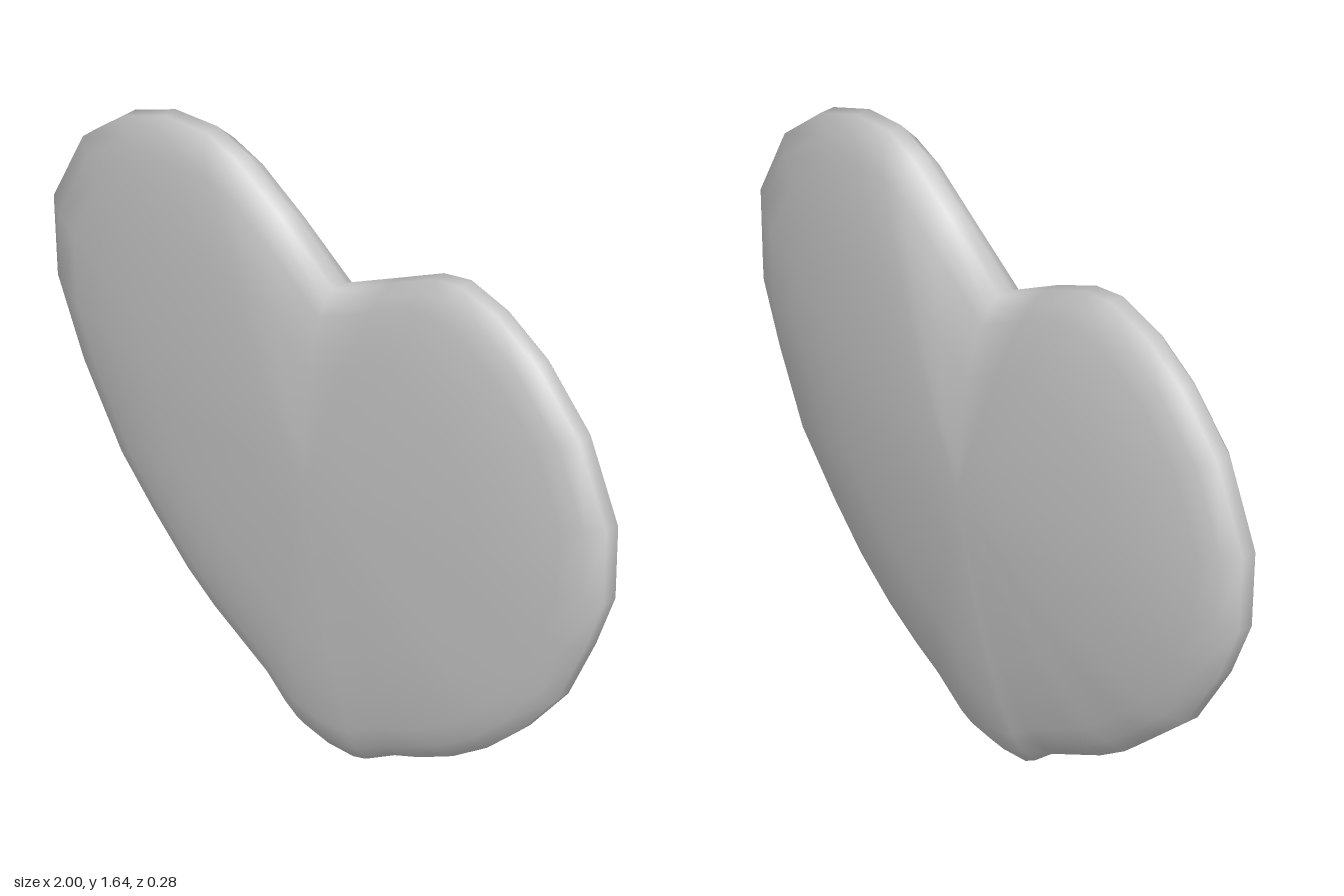
import * as THREE from 'three';
import { mergeVertices } from 'three/addons/utils/BufferGeometryUtils.js';

// Heart outline, clockwise from the notch (x, y)
const outline = [
  [0.01, 1.395], [0.22, 1.52], [0.37, 1.61], [0.47, 1.64], [0.6, 1.615], [0.75, 1.535],
  [0.9, 1.385], [1, 1.155], [0.99, 0.93], [0.92, 0.755], [0.82, 0.55], [0.69, 0.39],
  [0.575, 0.28], [0.45, 0.19], [0.33, 0.125], [0.24, 0.085], [0.135, 0.02], [0.09, 0.005],
  [0, 0], [-0.09, 0.015], [-0.13, 0.04], [-0.2, 0.1], [-0.4, 0.21], [-0.5, 0.28],
  [-0.63, 0.4], [-0.76, 0.52], [-0.9, 0.74], [-0.985, 0.93], [-1, 1.165], [-0.895, 1.4],
  [-0.745, 1.54], [-0.6, 1.615], [-0.45, 1.64], [-0.34, 1.61], [-0.18, 1.52],
];

// Half thickness against distance from the centre (0) to the rim (1)
const profile = [
  [0, 0.138], [0.2, 0.134], [0.4, 0.124], [0.6, 0.11], [0.75, 0.094],
  [0.88, 0.072], [0.95, 0.053], [1, 0.02],
];

const CENTRE_Y = 0.85;

// Pillow body: the outline shrinks towards the middle on both faces
function heartGeometry() {
  const rings = [
    ...profile.map(([s, h]) => [s, h]),
    ...profile.map(([s, h]) => [s, -h]).reverse(),
  ];
  const n = outline.length;
  const positions = [];
  const index = [];

  rings.forEach(([s, h], i) => {
    outline.forEach(([x, y], j) => {
      // the rim sits slightly forward, a little more so at the lower tip
      const rimShift = y < 0.5 ? 0.027 : 0.02;
      positions.push(x * s, CENTRE_Y + (y - CENTRE_Y) * s, h + rimShift * s * s);
      if (i === rings.length - 1) return;
      const a = i * n + j;
      const b = i * n + ((j + 1) % n);
      const c = a + n;
      const d = b + n;
      if (i < rings.length - 2) index.push(b, d, c);
      if (i > 0) index.push(b, c, a);
    });
  });

  const geometry = new THREE.BufferGeometry();
  geometry.setAttribute('position', new THREE.Float32BufferAttribute(positions, 3));
  geometry.setIndex(index);
  const welded = mergeVertices(geometry);
  welded.computeVertexNormals();
  return welded;
}

export function createModel() {
  const group = new THREE.Group();
  group.name = 'heart';
  const body = new THREE.Mesh(
    heartGeometry(),
    new THREE.MeshStandardMaterial({ color: 0xcccccc }),
  );
  body.name = 'heartBody';
  group.add(body);
  return group;
}
